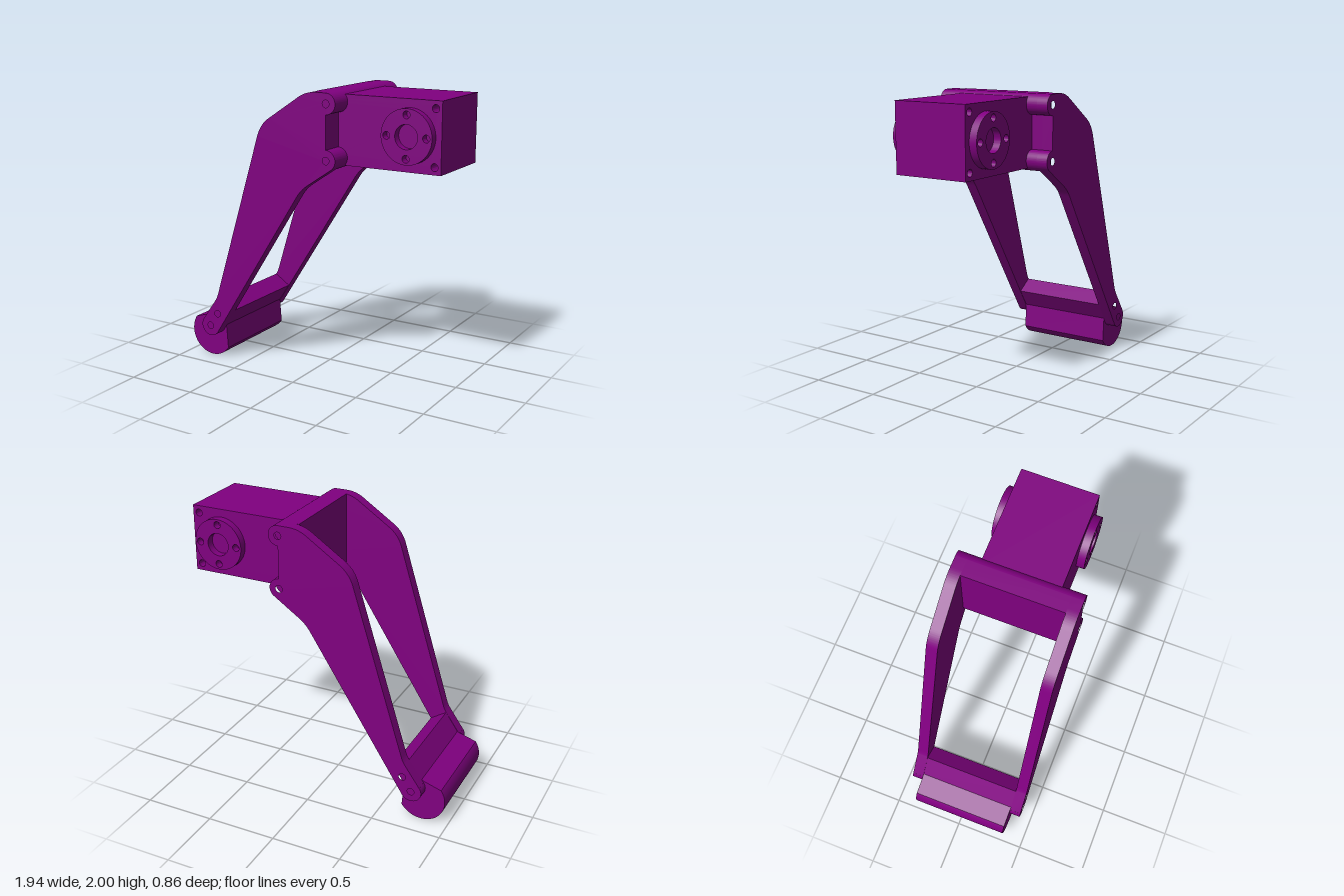
import * as THREE from 'three';
import { toCreasedNormals } from 'three/addons/utils/BufferGeometryUtils.js';

const material = new THREE.MeshStandardMaterial({ color: 0x800080 });
const HOLE = 0.025;      // bolt hole radius
const LUG = 0.07;        // hinge lug radius
const LUG_X = 0.225, LUG_TOP = 1.93, LUG_LOW = 1.56;

function drill(shape, x, y, r = HOLE) {
  shape.holes.push(new THREE.Path().absarc(x, y, r, 0, Math.PI * 2, true));
}

// Extrudes a front-view shape between two depths
function slab(name, shape, z0, z1) {
  const raw = new THREE.ExtrudeGeometry(shape, { depth: z1 - z0, bevelEnabled: false, curveSegments: 32 });
  raw.translate(0, 0, z0);
  const mesh = new THREE.Mesh(toCreasedNormals(raw, 0.45), material);
  mesh.name = name;
  return mesh;
}

// Line towards a corner, then a curve of the given reach around it
function roundCorner(shape, corner, next, reach) {
  const c = new THREE.Vector2(...corner);
  const from = shape.currentPoint.clone().sub(c).setLength(reach).add(c);
  const to = new THREE.Vector2(...next).sub(c).setLength(reach).add(c);
  shape.lineTo(from.x, from.y);
  shape.quadraticCurveTo(c.x, c.y, to.x, to.y);
}

// Two lugs joined by the straight edge between them
function lugEdge(shape, endAngle) {
  shape.lineTo(LUG_X, LUG_TOP + LUG);
  shape.absarc(LUG_X, LUG_TOP, LUG, Math.PI / 2, -Math.PI / 2, true);
  shape.lineTo(LUG_X, LUG_LOW + LUG);
  shape.absarc(LUG_X, LUG_LOW, LUG, Math.PI / 2, endAngle, true);
  drill(shape, LUG_X, LUG_TOP);
  drill(shape, LUG_X, LUG_LOW);
}

function sidePlateShape() {
  const s = new THREE.Shape();
  s.moveTo(-0.816, 0.298);
  roundCorner(s, [-0.69, 0.475], [-0.288, 1.76], 0.03);
  roundCorner(s, [-0.288, 1.76], [0.075, 2], 0.085);
  roundCorner(s, [0.075, 2], [LUG_X, 2], 0.07);
  lugEdge(s, -1.0);
  roundCorner(s, [0.03, 1.345], [-0.692, 0.214], 0.06);
  s.lineTo(-0.692, 0.214);
  s.absarc(-0.755, 0.255, 0.075, -0.58, -3.75, true);
  drill(s, -0.755, 0.255);
  drill(s, -0.69, 0.355);
  return s;
}

function crossWallShape() {
  const s = new THREE.Shape();
  s.moveTo(0.11, 2);
  lugEdge(s, -Math.PI / 2);
  s.lineTo(0.11, LUG_LOW - LUG);
  return s;
}

// Round foot with two flats, running up into the lower crossbar
function footShape() {
  const s = new THREE.Shape();
  s.moveTo(-0.945, 0.27);
  s.absarc(-0.803, 0.172, 0.172, 2.537, Math.PI * 2 - 0.596, false);
  s.lineTo(-0.673, 0.25);
  s.lineTo(-0.59, 0.377);
  s.lineTo(-0.705, 0.452);
  s.lineTo(-0.8, 0.315);
  drill(s, -0.755, 0.255);
  drill(s, -0.69, 0.355);
  return s;
}

// Motor body: two drilled corners, two half holes where it meets the lugs
function motorShape() {
  const s = new THREE.Shape();
  s.moveTo(LUG_X, 1.51);
  s.lineTo(0.97, 1.51);
  s.lineTo(0.97, 1.98);
  s.lineTo(LUG_X, 1.98);
  for (const y of [LUG_TOP, LUG_LOW]) {
    s.lineTo(LUG_X, y + HOLE);
    s.absarc(LUG_X, y, HOLE, Math.PI / 2, -Math.PI / 2, true);
    drill(s, 0.925, y);
  }
  return s;
}

function hornShape() {
  const x = 0.75, y = 1.745;
  const s = new THREE.Shape().absarc(x, y, 0.18, 0, Math.PI * 2, false);
  drill(s, x, y, 0.08);
  for (let i = 0; i < 4; i++) {
    const a = i * Math.PI / 2;
    drill(s, x + 0.14 * Math.cos(a), y + 0.14 * Math.sin(a));
  }
  return s;
}

export function createModel() {
  const model = new THREE.Group();
  model.name = 'legBracket';

  // Pair of leg plates and the motor's round horns, front and back
  model.add(
    slab('frontSidePlate', sidePlateShape(), 0.35, 0.43),
    slab('backSidePlate', sidePlateShape(), -0.43, -0.35),
    slab('frontHorn', hornShape(), 0.27, 0.325),
    slab('backHorn', hornShape(), -0.325, -0.27),
  );

  // Parts that span the width
  model.add(
    slab('crossWall', crossWallShape(), -0.35, 0.35),
    slab('footAndCrossbar', footShape(), -0.35, 0.35),
    slab('motorBody', motorShape(), -0.27, 0.27),
  );
  return model;
}
